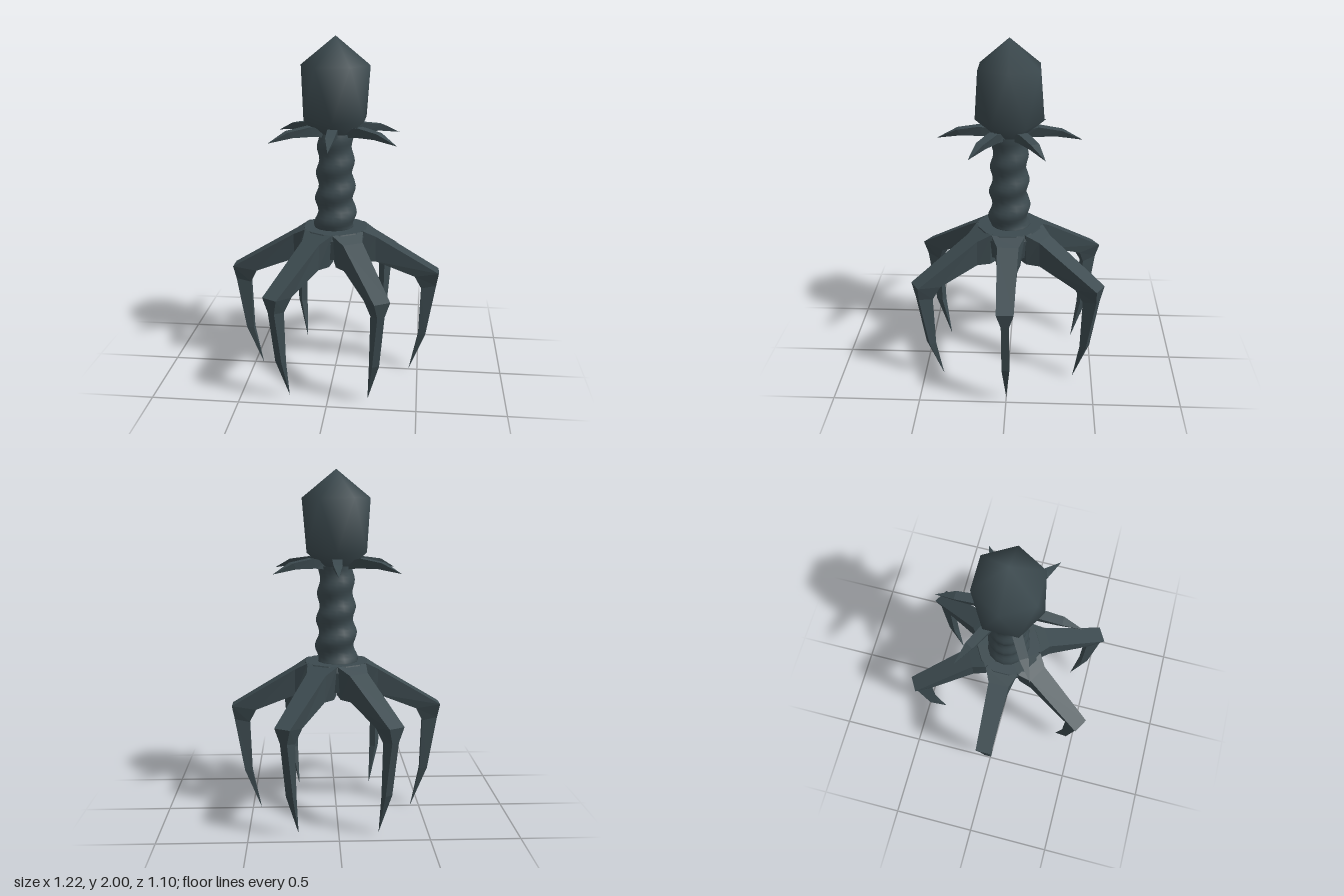
import * as THREE from 'three';
import { mergeVertices } from 'three/addons/utils/BufferGeometryUtils.js';

// Skin a series of equal-length rings of [x, y, z] points, capping the first ring.
function skin(rings, smooth) {
  const n = rings[0].length;
  const index = [];
  for (let i = 0; i < rings.length - 1; i++) {
    for (let j = 0; j < n; j++) {
      const a = i * n + j, a1 = i * n + (j + 1) % n;
      index.push(a, a + n, a1 + n, a, a1 + n, a1);
    }
  }
  for (let j = 1; j < n - 1; j++) index.push(0, j, j + 1);
  let geo = new THREE.BufferGeometry();
  geo.setAttribute('position', new THREE.Float32BufferAttribute(rings.flat(2), 3));
  geo.setIndex(index);
  geo = smooth ? mergeVertices(geo, 1e-4) : geo.toNonIndexed();
  geo.computeVertexNormals();
  return geo;
}

// Horizontal ring; radius may depend on the angle.
function ring(y, radius, sides, offset = 0) {
  return Array.from({ length: sides }, (_, j) => {
    const a = offset + (j / sides) * Math.PI * 2;
    const r = typeof radius === 'function' ? radius(a) : radius;
    return [Math.cos(a) * r, y, Math.sin(a) * r];
  });
}

// Limb along +x from sections: [outer x, outer y, inner x, inner y, outer half width, inner half width]
function limb(sections) {
  return skin(sections.map(([ox, oy, ix, iy, wo, wi]) =>
    [[ox, oy, wo], [ox, oy, -wo], [ix, iy, -wi], [ix, iy, wi]]), false);
}

export function createModel() {
  const model = new THREE.Group();
  const slate = new THREE.MeshStandardMaterial({ color: 0x3c4a4f });
  slate.name = 'darkSlate';

  function add(name, geo, turn = 0) {
    const mesh = new THREE.Mesh(geo, slate);
    mesh.name = name;
    mesh.rotation.y = turn;
    model.add(mesh);
  }

  // Faceted capsule head: two twisted hexagons between two points
  add('head', skin([
    ring(1.38, 0, 6, Math.PI / 6),
    ring(1.54, 0.195, 6, Math.PI / 6),
    ring(1.84, 0.195, 6),
    ring(2.0, 0, 6),
  ], true));

  // Tail sheath with a helical ridge, narrowing upward
  const tailRings = [];
  for (let i = 0; i <= 28; i++) {
    const t = i / 28;
    const y = 0.89 + t * 0.57;
    const base = 0.116 - 0.019 * t;
    const amp = 0.013 - 0.006 * t;
    const crest = Math.PI - ((y - 0.92) / 0.153) * Math.PI * 2;
    tailRings.push(ring(y, (a) => base + amp * Math.cos(a - crest), 16));
  }
  add('tail', skin(tailRings, true));

  // Base plate where the legs meet
  add('basePlate', skin([
    ring(0.75, 0, 12, Math.PI / 12),
    ring(0.75, 0.17, 12, Math.PI / 12),
    ring(0.87, 0.2, 12, Math.PI / 12),
    ring(0.905, 0.185, 12, Math.PI / 12),
    ring(0.905, 0, 12, Math.PI / 12),
  ], false));

  const leg = limb([
    [0.09, 0.905, 0.09, 0.72, 0.052, 0.05],
    [0.17, 0.905, 0.16, 0.71, 0.095, 0.07],
    [0.24, 0.865, 0.24, 0.712, 0.061, 0.055],
    [0.61, 0.645, 0.47, 0.62, 0.048, 0.042],
    [0.597, 0.56, 0.51, 0.54, 0.022, 0.02],
    [0.543, 0.245, 0.5, 0.24, 0.022, 0.02],
    [0.447, 0, 0.447, 0, 0, 0],
  ]);
  const whisker = limb([
    [0.07, 1.485, 0.07, 1.44, 0.022, 0.02],
    [0.165, 1.507, 0.15, 1.45, 0.028, 0.02],
    [0.295, 1.487, 0.27, 1.452, 0.025, 0.018],
    [0.41, 1.43, 0.41, 1.43, 0, 0],
  ]);

  // Six legs, with six collar whiskers set between them
  for (let i = 0; i < 6; i++) {
    add('leg', leg, (i * Math.PI) / 3);
    add('collarWhisker', whisker, (i + 0.5) * (Math.PI / 3));
  }
  return model;
}
